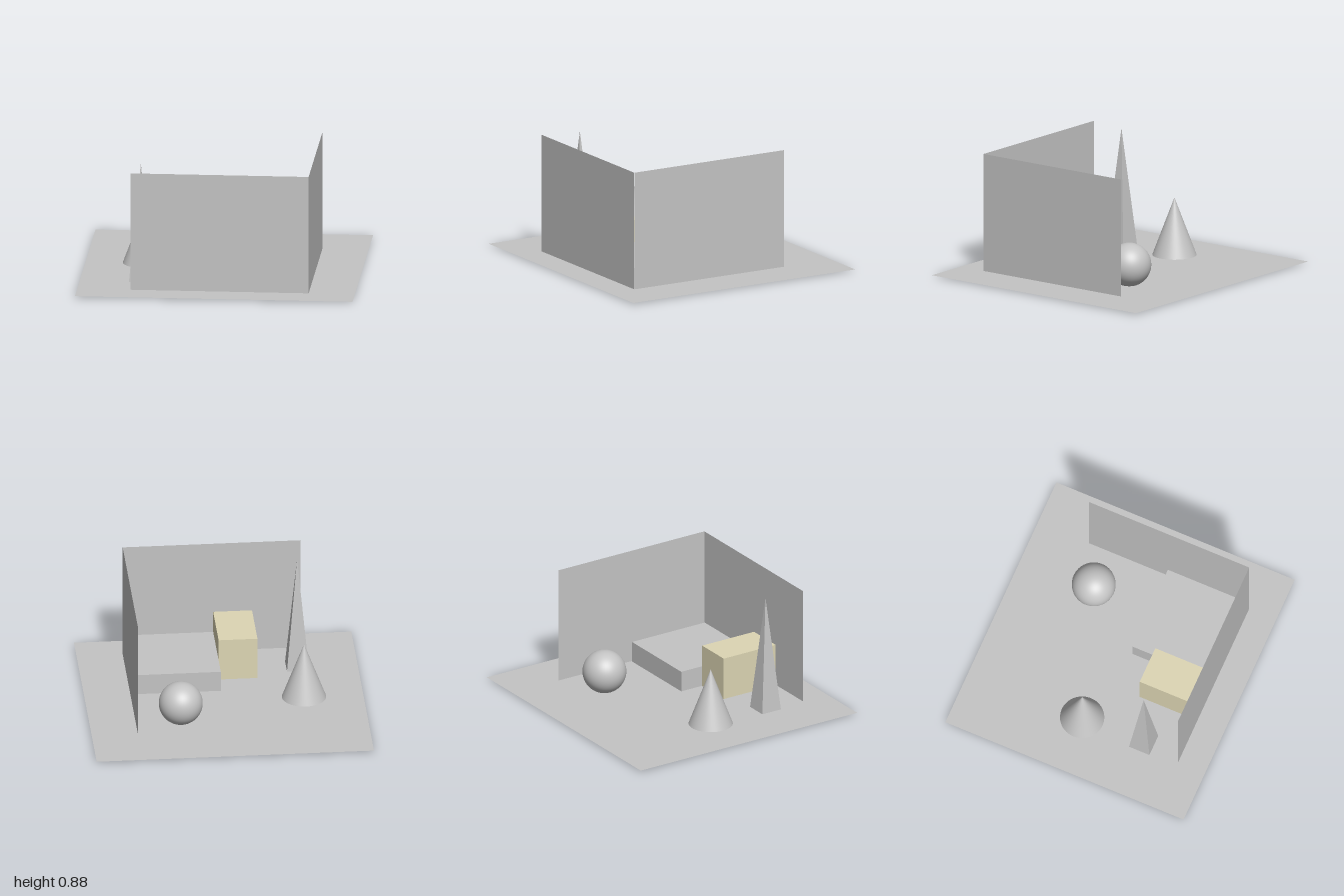
import * as THREE from 'three';

const paleGrey = new THREE.MeshStandardMaterial({ color: 0xc4c4c4, side: THREE.DoubleSide });
const paleYellow = new THREE.MeshStandardMaterial({ color: 0xddd6b4 });

const GROUND = 0.01;
const WALL_TOP = 0.875;

export function createModel() {
  const model = new THREE.Group();
  model.name = 'roomCorner';

  const add = (name, geometry, material, x, y, z) => {
    const mesh = new THREE.Mesh(geometry, material);
    mesh.name = name;
    mesh.position.set(x, y, z);
    model.add(mesh);
    return mesh;
  };

  // Box given by its extents
  const addBox = (name, material, [x0, x1], [y0, y1], [z0, z1]) =>
    add(name, new THREE.BoxGeometry(x1 - x0, y1 - y0, z1 - z0), material,
      (x0 + x1) / 2, (y0 + y1) / 2, (z0 + z1) / 2);

  // Floor sheet
  add('floor', new THREE.PlaneGeometry(2, 1.866).rotateX(-Math.PI / 2), paleGrey, 0, GROUND, 0);

  // Two sheet walls meeting at the front left corner
  const wallHeight = WALL_TOP - GROUND;
  const wallY = GROUND + wallHeight / 2;
  add('frontWall', new THREE.PlaneGeometry(1.28, wallHeight), paleGrey, 0.025, wallY, 0.722);
  add('sideWall', new THREE.PlaneGeometry(1.255, wallHeight).rotateY(Math.PI / 2), paleGrey,
    0.667, wallY, 0.0935);

  // Low platform and the taller block beside it
  addBox('platform', paleGrey, [0.015, 0.655], [0.012, 0.165], [0.09, 0.717]);
  addBox('block', paleYellow, [-0.265, 0.015], [0.007, 0.327], [0.27, 0.717]);

  // Ball resting just through the floor
  add('ball', new THREE.SphereGeometry(0.158, 48, 32), paleGrey, 0.343, 0.158, -0.355);

  // Smooth cone
  const coneHeight = 0.425;
  add('cone', new THREE.ConeGeometry(0.16, coneHeight, 64), paleGrey,
    -0.573, 0.008 + coneHeight / 2, -0.047);

  // Tall four-sided spire with flat faces
  const spireHeight = 0.867;
  const spire = new THREE.ConeGeometry(0.08 * Math.SQRT2, spireHeight, 4, 1)
    .rotateY(Math.PI / 4).toNonIndexed();
  spire.computeVertexNormals();
  add('spire', spire, paleGrey, -0.565, 0.008 + spireHeight / 2, 0.431);

  return model;
}
